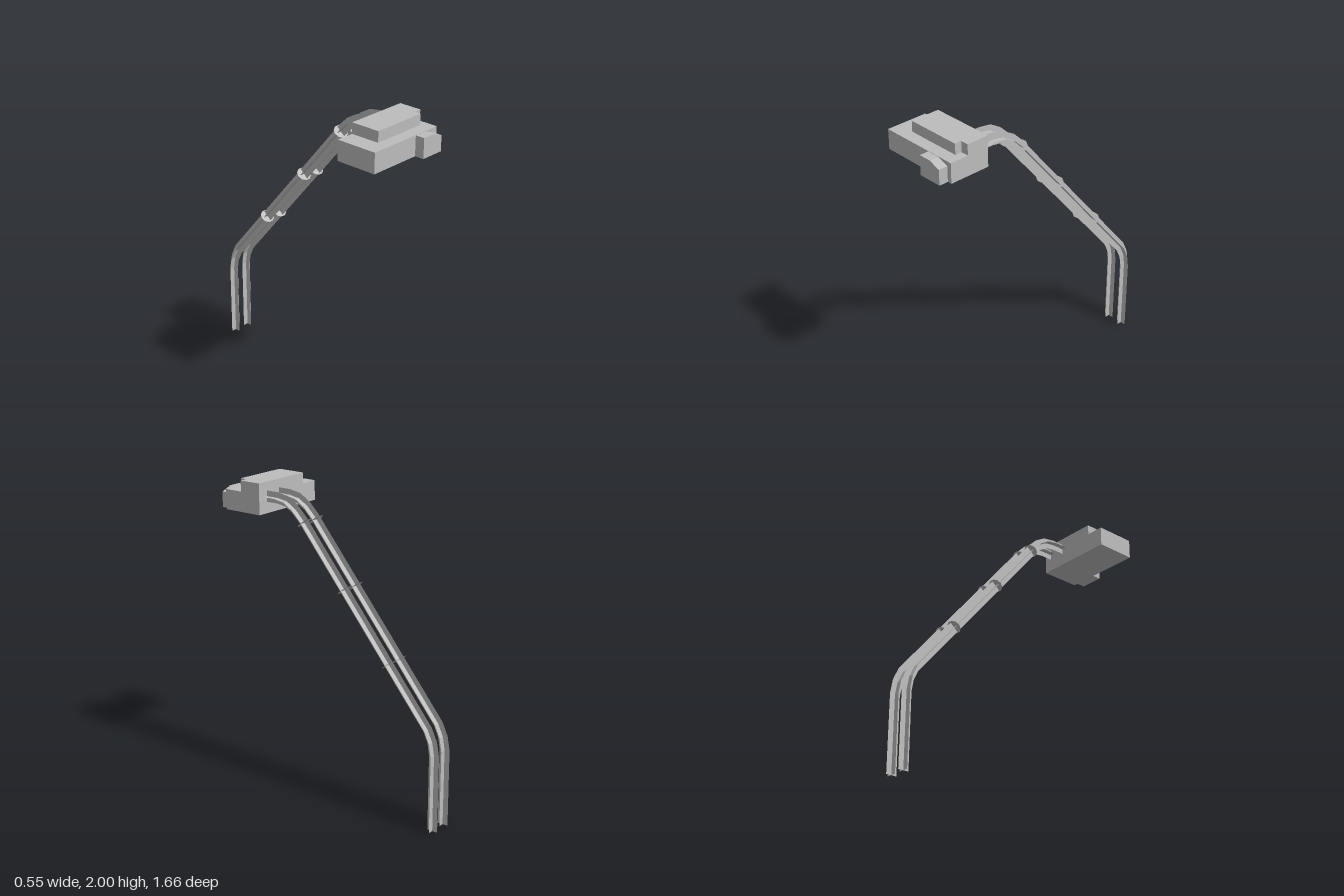
import * as THREE from 'three';

const grey = new THREE.MeshStandardMaterial({ color: 0xbcbcbc });
grey.name = 'grey';
const greySheet = new THREE.MeshStandardMaterial({ color: 0xbcbcbc, side: THREE.DoubleSide, flatShading: true });
greySheet.name = 'grey sheet';

// Pipe centre line as [z, y], from the ground up to the housing wall
const path = [
  [-0.795, 0], [-0.795, 0.5], [-0.78, 0.585], [-0.745, 0.66], [-0.687, 0.73],
  [0.2, 1.803], [0.258, 1.86], [0.325, 1.9], [0.4, 1.912], [0.5, 1.912],
].map(([z, y]) => new THREE.Vector3(0, y, z));
const HALF = 0.036;

function add(group, name, geometry, material) {
  const mesh = new THREE.Mesh(geometry, material);
  mesh.name = name;
  group.add(mesh);
  return mesh;
}

// Flat ribbon along the path, spread to both sides by offset(i)
function ribbon(offset) {
  const pos = [], index = [];
  path.forEach((p, i) => {
    const o = offset(i);
    pos.push(...p.clone().add(o).toArray(), ...p.clone().sub(o).toArray());
    if (i) {
      const a = 2 * i - 2;
      index.push(a, a + 1, a + 2, a + 1, a + 3, a + 2);
    }
  });
  const g = new THREE.BufferGeometry();
  g.setAttribute('position', new THREE.Float32BufferAttribute(pos, 3));
  g.setIndex(index);
  const flat = g.toNonIndexed();
  flat.computeVertexNormals();
  return flat;
}

// Offset perpendicular to the path in its own plane, mitred at bends
function across(i) {
  const before = path[Math.max(i - 1, 0)], here = path[i], after = path[Math.min(i + 1, path.length - 1)];
  const a = here.clone().sub(before).normalize(), b = after.clone().sub(here).normalize();
  const t = a.add(b).normalize();
  return new THREE.Vector3(0, t.z, -t.y).multiplyScalar(HALF);
}

// Slab from a plan or front outline
function slab(points, depth) {
  const shape = new THREE.Shape(points.map(([x, y]) => new THREE.Vector2(x, y)));
  return new THREE.ExtrudeGeometry(shape, { depth, bevelEnabled: false });
}

function makePipe(x) {
  const pipe = new THREE.Group();
  pipe.name = 'pipe';
  pipe.position.x = x;
  // Two crossed sheets
  add(pipe, 'pipeCrossSheet', ribbon(() => new THREE.Vector3(HALF, 0, 0)), greySheet);
  add(pipe, 'pipeUprightSheet', ribbon(across), greySheet);
  // Collars along the slope, square to it
  const slope = Math.atan2(1.073, 0.887);
  for (const z of [-0.455, -0.12, 0.187]) {
    const collar = add(pipe, 'collar', new THREE.CircleGeometry(0.051, 10).scale(1, 0.9, 1), greySheet);
    collar.position.set(0, 1.803 + (z - 0.2) * 1.21, z);
    collar.rotation.x = -slope;
  }
  // Flange at the wall
  const flange = add(pipe, 'wallFlange', new THREE.CircleGeometry(0.051, 10), greySheet);
  flange.position.set(0, 1.912, 0.485);
  return pipe;
}

export function createModel() {
  const model = new THREE.Group();
  model.name = 'pipeRun';

  // Housing
  const base = add(model, 'housingBase', new THREE.BoxGeometry(0.545, 0.13, 0.275), grey);
  base.position.set(-0.0025, 1.865, 0.6325);

  // Raised top with a notched front corner; outline is x, -z
  const top = slab([
    [-0.155, -0.69], [0.217, -0.69], [0.217, -0.645], [0.27, -0.645], [0.27, -0.495], [-0.155, -0.495],
  ], 0.07);
  const raised = add(model, 'housingTop', top.rotateX(-Math.PI / 2), grey);
  raised.position.y = 1.93;

  // Front block with a sloped top corner
  const block = slab([[0.08, 1.8], [0.24, 1.8], [0.24, 1.9], [0.165, 1.928], [0.08, 1.928]], 0.062);
  add(model, 'frontBlock', block, grey).position.z = 0.769;

  for (const x of [0.092, 0.207]) model.add(makePipe(x));
  return model;
}
